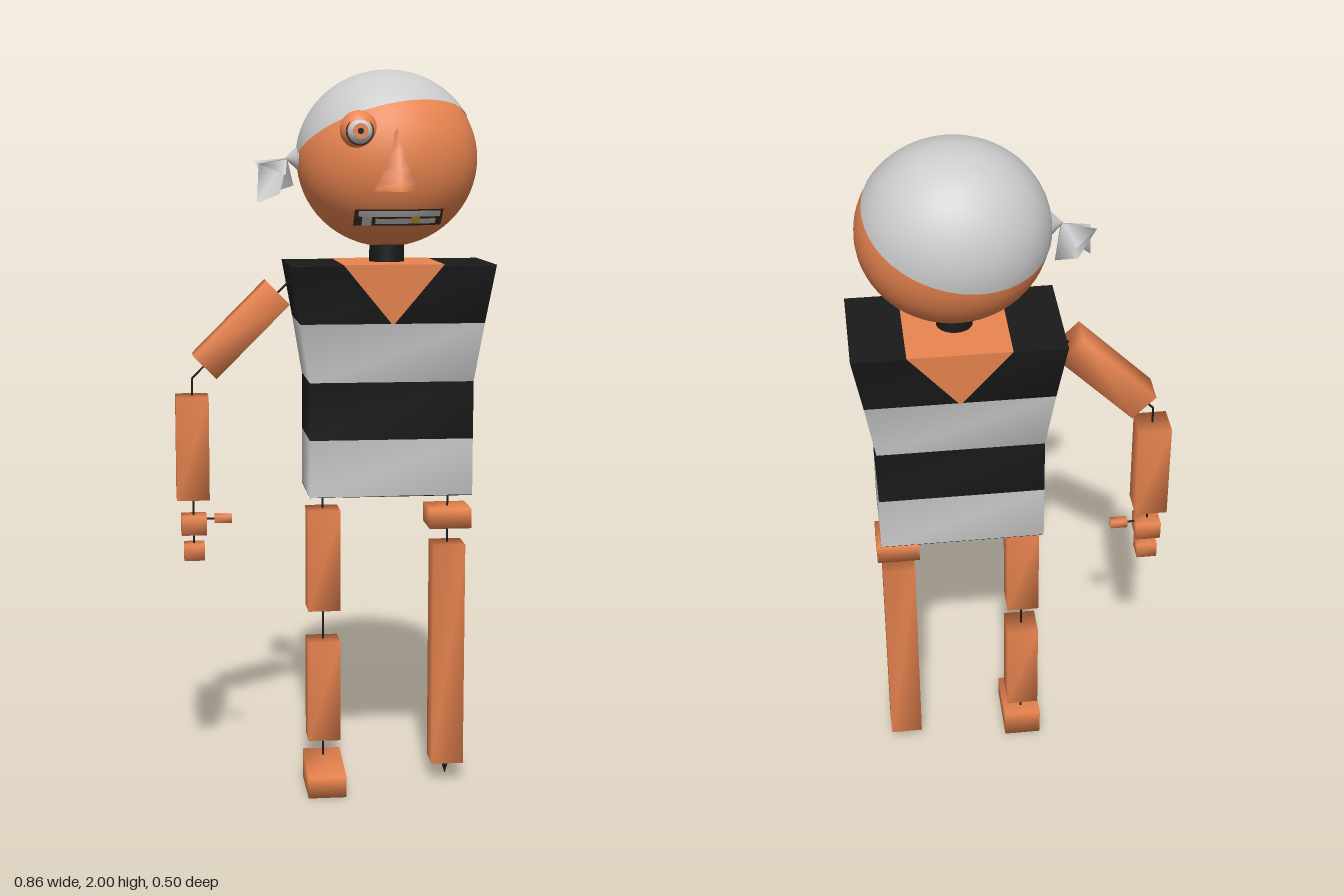
import * as THREE from 'three';
import { mergeVertices } from 'three/addons/utils/BufferGeometryUtils.js';

const material = (color) => new THREE.MeshStandardMaterial({ color, side: THREE.DoubleSide });
const V = (x, y, z) => new THREE.Vector3(x, y, z);
const DEPTH = -0.025; // common z of limbs and neck
const HEAD = V(0.151, 1.762, -0.03);
const RADII = V(0.247, 0.237, 0.217);

export function createModel() {
  const model = new THREE.Group();
  const skin = material(0xea8550), black = material(0x1a1a1a), grey = material(0xcccccc);
  const gold = material(0xd8c030), mouthDark = material(0x4a2a1c);

  function add(name, geometry, mat, x = 0, y = 0, z = 0) {
    const mesh = new THREE.Mesh(geometry, mat);
    mesh.name = name;
    mesh.position.set(x, y, z);
    model.add(mesh);
    return mesh;
  }

  // Box with shared corners, so its shading runs softly round the edges
  function softBox(w, h, d) {
    const g = new THREE.BoxGeometry(w, h, d);
    g.deleteAttribute('uv');
    g.deleteAttribute('normal');
    const soft = mergeVertices(g);
    soft.computeVertexNormals();
    return soft;
  }

  // Smooth skin over stacked loops of corners, listed bottom up, with optional end caps
  function loft(loops, capped) {
    const n = loops[0].length, index = [];
    for (let i = 0; i < loops.length - 1; i++) {
      for (let j = 0; j < n; j++) {
        const a = i * n + j, b = i * n + (j + 1) % n;
        index.push(a, b, b + n, a, b + n, a + n);
      }
    }
    const top = (loops.length - 1) * n;
    if (capped) {
      for (let j = 1; j < n - 1; j++) index.push(0, j + 1, j, top, top + j, top + j + 1);
    }
    const g = new THREE.BufferGeometry().setFromPoints(loops.flat());
    g.setIndex(index);
    g.computeVertexNormals();
    return g;
  }

  // Thin cord through a list of points
  function cord(name, ...points) {
    for (let i = 0; i < points.length - 1; i++) {
      add(name, new THREE.TubeGeometry(new THREE.LineCurve3(points[i], points[i + 1]), 1, 0.003, 6), black);
    }
  }

  // Torso: four striped bands, black at the shoulders, with flat ends
  const rings = [
    [0.85, 0.224, 0.098, -0.145], [1.007, 0.224, 0.098, -0.145], [1.165, 0.224, 0.1, -0.147],
    [1.325, 0.25, 0.115, -0.16], [1.483, 0.278, 0.13, -0.176],
  ].map(([y, w, f, b]) => [
    V(0.151 - w, y, f), V(0.151 + w, y, f), V(0.151 + w, y, b), V(0.151 - w, y, b),
  ]);
  for (let i = 0; i < 4; i++) {
    add('shirtStripe', loft([rings[i], rings[i + 1]]), i % 2 ? black : grey);
  }
  add('shirtBase', new THREE.BoxGeometry(0.448, 0.002, 0.243), black, 0.151, 0.85, -0.0235);
  add('shirtTop', new THREE.BoxGeometry(0.556, 0.002, 0.306), black, 0.151, 1.482, -0.023);

  // Neckline: a V-shaped wedge running from front to back
  add('neckline', loft([
    [V(0.147, 1.325, 0.117), V(0.155, 1.325, 0.117), V(0.155, 1.325, -0.162), V(0.147, 1.325, -0.162)],
    [V(0.015, 1.485, 0.132), V(0.287, 1.485, 0.132), V(0.287, 1.485, -0.178), V(0.015, 1.485, -0.178)],
  ], true).toNonIndexed(), skin).geometry.computeVertexNormals();
  add('neck', new THREE.CylinderGeometry(0.048, 0.048, 0.1, 24), black, 0.151, 1.52, DEPTH);

  // Head
  add('head', new THREE.SphereGeometry(1, 48, 32), skin, HEAD.x, HEAD.y, HEAD.z).scale.copy(RADII);

  // Headscarf: tilted cap over the head
  const cap = new THREE.SphereGeometry(1.012, 48, 20, 0, Math.PI * 2, 0, 1.355);
  cap.applyQuaternion(new THREE.Quaternion().setFromUnitVectors(V(0, 1, 0), V(-0.25, 1, -0.48).normalize()));
  cap.scale(RADII.x, RADII.y, RADII.z);
  cap.computeVertexNormals();
  add('headscarf', cap, grey, HEAD.x, HEAD.y, HEAD.z);
  const gather = new THREE.ConeGeometry(0.055, 0.06, 20);
  gather.rotateZ(Math.PI / 2);
  add('scarfGather', gather, grey, -0.099, 1.765, -0.03);

  // Two flared scarf ends tied at the side
  const knot = V(-0.122, 1.765, -0.03);
  const ends = [
    [V(-0.21, 1.757, -0.057), V(-0.155, 1.74, -0.11), V(-0.1, 1.69, -0.085), V(-0.165, 1.67, -0.05)],
    [V(-0.2, 1.75, -0.02), V(-0.207, 1.645, 0.01), V(-0.15, 1.67, 0.055), V(-0.13, 1.72, 0.02)],
  ];
  for (const rim of ends) {
    const inner = rim.map((p) => p.clone().lerp(knot, 0.93));
    add('scarfEnd', loft([inner, rim]), grey);
  }

  // Eye: bulging lid, ball, iris and pupil
  const disc = (r, h) => new THREE.CylinderGeometry(r, r, h, 24).rotateX(Math.PI / 2);
  add('eyeLid', new THREE.SphereGeometry(0.05, 32, 20), skin, 0.052, 1.84, 0.152).scale.z = 0.76;
  add('eyeball', new THREE.SphereGeometry(0.038, 32, 20), grey, 0.052, 1.836, 0.161);
  add('eyeRim', new THREE.TorusGeometry(0.034, 0.003, 8, 28), mouthDark, 0.052, 1.836, 0.178);
  add('iris', disc(0.02, 0.008), skin, 0.052, 1.836, 0.194);
  add('pupil', disc(0.008, 0.006), black, 0.052, 1.836, 0.197);

  // Nose: three-sided wedge, flaring at the nostrils
  const nose = [[1.68, 0.091, 0.25, 0.125], [1.7, 0.085, 0.242, 0.13], [1.74, 0.061, 0.227, 0.145],
    [1.79, 0.036, 0.208, 0.15], [1.842, 0.004, 0.187, 0.15]];
  add('nose', loft(nose.map(([y, w, tip, back]) => [
    V(0.152 - w, y, back), V(0.152, y, tip), V(0.152 + w, y, back),
  ])), skin);
  const noseBase = new THREE.Shape([[-0.091, 0.125], [0, 0.25], [0.091, 0.125]].map(([x, z]) => new THREE.Vector2(x, z)));
  add('noseBase', new THREE.ShapeGeometry(noseBase).rotateX(Math.PI / 2), skin, 0.152, 1.68, 0);

  // Mouth parts follow the face: x range and y range wrapped on the head surface
  function facePatch(name, x0, x1, y0, y1, lift, mat) {
    const g = new THREE.PlaneGeometry(x1 - x0, y1 - y0, 12, 3);
    g.translate((x0 + x1) / 2, (y0 + y1) / 2, 0);
    const p = g.attributes.position;
    for (let i = 0; i < p.count; i++) {
      const u = (p.getX(i) - HEAD.x) / RADII.x, v = (p.getY(i) - HEAD.y) / RADII.y;
      p.setZ(i, HEAD.z + RADII.z * Math.sqrt(1 - u * u - v * v) + lift);
    }
    g.computeVertexNormals();
    add(name, g, mat);
  }
  facePatch('mouth', 0.045, 0.285, 1.588, 1.632, 0.003, mouthDark);
  facePatch('upperTeeth', 0.055, 0.277, 1.612, 1.628, 0.006, grey);
  facePatch('lowerTeeth', 0.1, 0.265, 1.593, 1.607, 0.006, grey);
  facePatch('longTooth', 0.065, 0.09, 1.588, 1.612, 0.008, grey);
  facePatch('goldTooth', 0.195, 0.218, 1.595, 1.613, 0.009, gold);

  // Limb blocks: name, centre x, bottom, top, width, depth
  const blocks = [
    ['forearm', -0.388, 0.833, 1.12, 0.09, 0.09],
    ['palm', -0.386, 0.733, 0.785, 0.07, 0.07],
    ['fingers', -0.386, 0.66, 0.705, 0.057, 0.057],
    ['thumb', -0.305, 0.762, 0.784, 0.048, 0.024],
    ['thigh', -0.026, 0.51, 0.797, 0.09, 0.09],
    ['shin', -0.026, 0.133, 0.42, 0.09, 0.09],
    ['stump', 0.327, 0.742, 0.797, 0.118, 0.12],
    ['pegLeg', 0.327, 0.053, 0.692, 0.09, 0.09],
  ];
  for (const [name, x, y0, y1, w, d] of blocks) {
    add(name, softBox(w, y1 - y0, d), skin, x, (y0 + y1) / 2, DEPTH);
  }
  add('upperArm', softBox(0.09, 0.285, 0.09), skin, -0.252, 1.302, DEPTH).rotation.z = -Math.PI / 4;
  const tip = new THREE.ConeGeometry(0.013, 0.045, 12).rotateX(Math.PI);
  add('pegTip', tip, black, 0.327, 0.031, DEPTH);

  // Foot: block with a lowered toe
  const foot = softBox(0.106, 0.083, 0.185);
  const fp = foot.attributes.position;
  for (let i = 0; i < fp.count; i++) {
    if (fp.getY(i) > 0 && fp.getZ(i) > 0) fp.setY(i, 0.017);
  }
  foot.computeVertexNormals();
  add('foot', foot, skin, -0.027, 0.0415, 0.026);

  // Cords joining the blocks
  const at = (x, y) => V(x, y, DEPTH);
  cord('shoulderCord', at(-0.11, 1.44), at(-0.16, 1.39));
  cord('elbowCord', at(-0.34, 1.214), at(-0.387, 1.167), at(-0.387, 1.11));
  cord('wristCord', at(-0.387, 0.84), at(-0.387, 0.78));
  cord('fingerCord', at(-0.387, 0.74), at(-0.387, 0.7));
  cord('thumbCord', at(-0.36, 0.773), at(-0.32, 0.773));
  cord('hipCord', at(-0.026, 0.86), at(-0.026, 0.79));
  cord('kneeCord', at(-0.026, 0.52), at(-0.026, 0.41));
  cord('ankleCord', at(-0.026, 0.14), at(-0.026, 0.07));
  cord('pegHipCord', at(0.327, 0.86), at(0.327, 0.79));
  cord('pegCord', at(0.327, 0.75), at(0.327, 0.68));
  return model;
}
